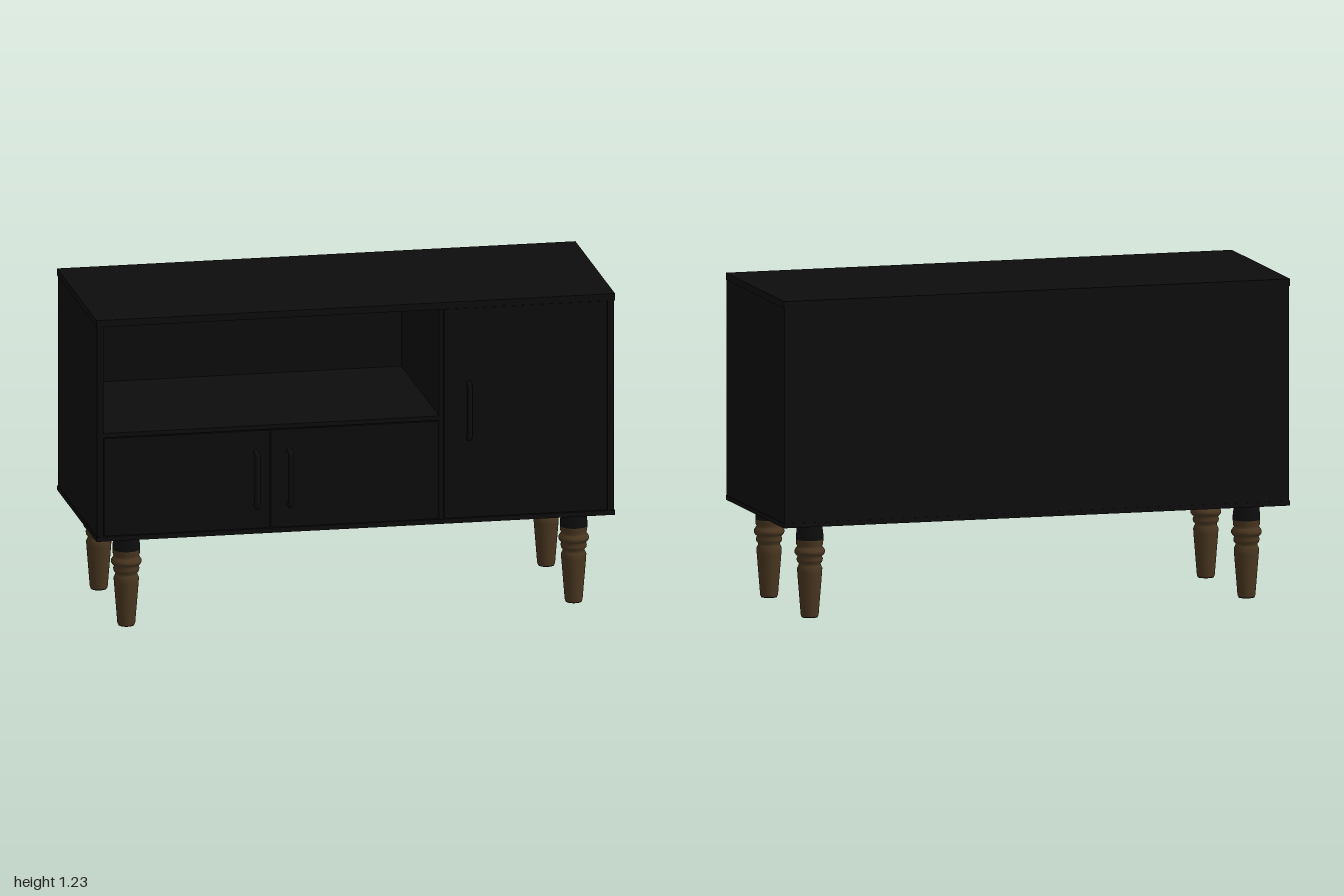
import * as THREE from 'three';

export function createModel() {
  const model = new THREE.Group();
  model.name = 'sideboard';
  const black = new THREE.MeshStandardMaterial({ color: 0x0d0d0d });
  black.name = 'black paint';
  const wood = new THREE.MeshStandardMaterial({ color: 0x4a3721 });
  wood.name = 'brown wood';

  const add = (name, geometry, material, parent = model) => {
    const mesh = new THREE.Mesh(geometry, material);
    mesh.name = name;
    parent.add(mesh);
    return mesh;
  };
  // Box given by its lower and upper limits on each axis
  const panel = (name, x0, x1, y0, y1, z0, z1) => {
    const mesh = add(name, new THREE.BoxGeometry(x1 - x0, y1 - y0, z1 - z0), black);
    mesh.position.set((x0 + x1) / 2, (y0 + y1) / 2, (z0 + z1) / 2);
  };

  // Carcass
  panel('topPanel', -1, 1, 1.203, 1.23, -0.402, 0.363);
  panel('bottomPanel', -1, 1, 0.362, 0.38, -0.4, 0.363);
  panel('rightSide', -0.997, -0.972, 0.38, 1.203, -0.398, 0.36);
  panel('leftSide', 0.972, 0.997, 0.38, 1.203, -0.398, 0.36);
  panel('backPanel', -0.972, 0.972, 0.38, 1.203, -0.398, -0.37);
  panel('divider', 0.322, 0.34, 0.38, 1.203, -0.37, 0.357);
  panel('shelf', -0.972, 0.322, 0.768, 0.785, -0.37, 0.36);

  // Doors, with narrow gaps between them
  panel('smallDoorRight', -0.97, -0.332, 0.382, 0.764, 0.33, 0.358);
  panel('smallDoorLeft', -0.326, 0.32, 0.382, 0.764, 0.33, 0.358);
  panel('tallDoor', 0.342, 0.97, 0.382, 1.201, 0.33, 0.358);

  // Bar handles with bent ends
  const handle = (x, y0, y1, z, r) => {
    const path = new THREE.CurvePath();
    const v = (y, d) => new THREE.Vector3(x, y, d);
    const b = 0.012;
    path.add(new THREE.LineCurve3(v(y0, 0.352), v(y0, z - b)));
    path.add(new THREE.QuadraticBezierCurve3(v(y0, z - b), v(y0, z), v(y0 + b, z)));
    path.add(new THREE.LineCurve3(v(y0 + b, z), v(y1 - b, z)));
    path.add(new THREE.QuadraticBezierCurve3(v(y1 - b, z), v(y1, z), v(y1, z - b)));
    path.add(new THREE.LineCurve3(v(y1, z - b), v(y1, 0.352)));
    add('doorHandle', new THREE.TubeGeometry(path, 80, r, 10), black);
  };
  handle(-0.385, 0.472, 0.68, 0.393, 0.011);
  handle(-0.256, 0.472, 0.68, 0.393, 0.011);
  handle(0.437, 0.692, 0.908, 0.375, 0.01);

  // Turned legs: brown below, black at the top, dark foot disc
  const lathe = (points) =>
    new THREE.LatheGeometry(points.map(([r, y]) => new THREE.Vector2(r, y)), 28);
  const lower = lathe([
    [0.032, 0.004], [0.034, 0.01], [0.047, 0.17], [0.048, 0.188], [0.043, 0.198],
    [0.041, 0.206], [0.048, 0.214], [0.05, 0.224], [0.046, 0.234], [0.053, 0.24],
    [0.058, 0.248], [0.058, 0.256], [0.052, 0.266], [0.047, 0.272], [0.051, 0.28], [0.052, 0.298],
  ]);
  const upper = lathe([[0.052, 0.298], [0.052, 0.315], [0.049, 0.34], [0.048, 0.365]]);
  const foot = new THREE.CylinderGeometry(0.032, 0.03, 0.005, 28);
  for (const x of [-0.863, 0.863]) {
    for (const z of [0.25, -0.282]) {
      const leg = new THREE.Group();
      leg.name = 'leg';
      leg.position.set(x, 0, z);
      add('legTurning', lower, wood, leg);
      add('legTop', upper, black, leg);
      add('footDisc', foot, black, leg).position.y = 0.0025;
      model.add(leg);
    }
  }
  return model;
}
